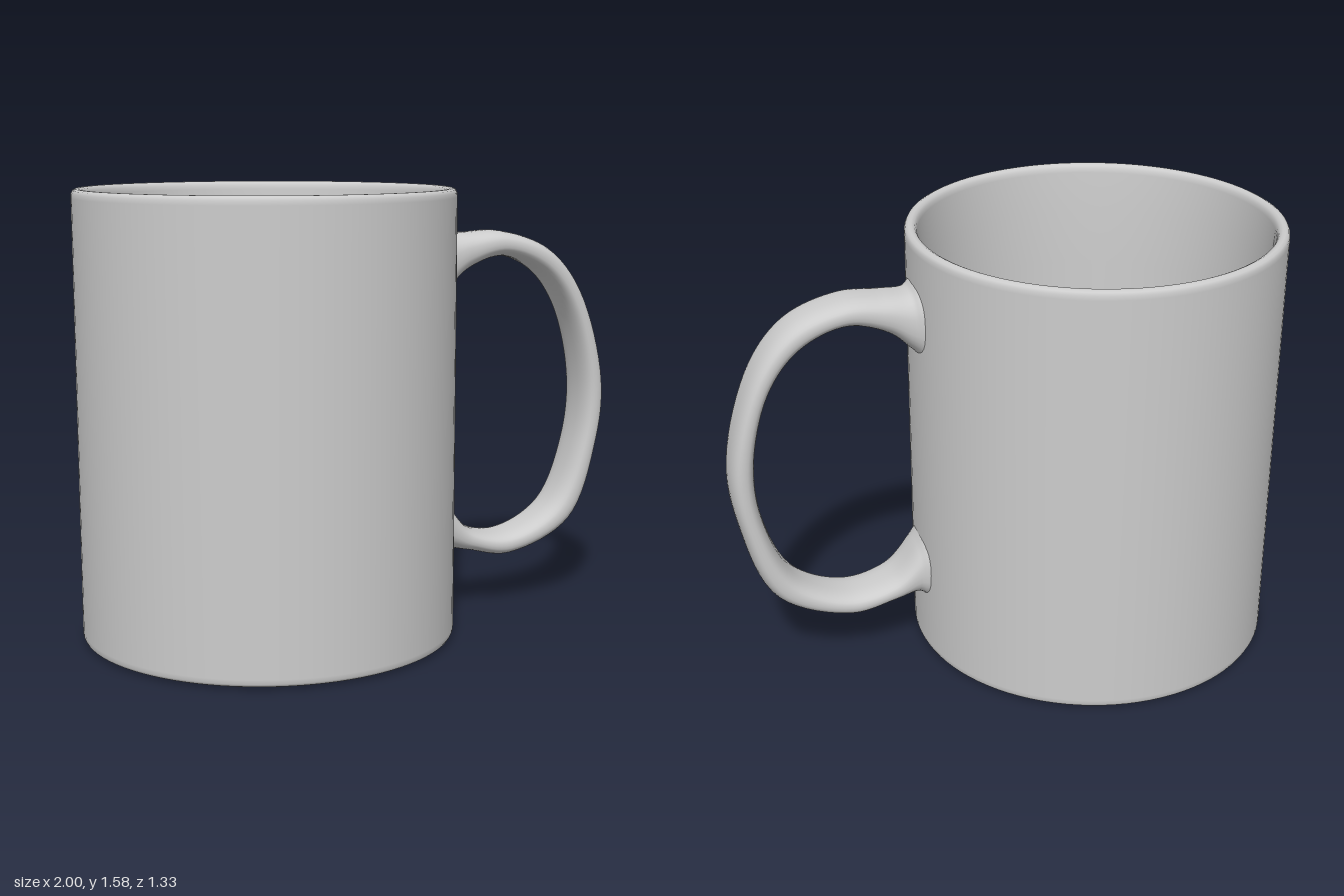
import * as THREE from 'three';

const CENTER_X = -0.337; // axis of the cup body

// Cup wall, rim and floor turned as one hollow profile
function cupGeometry() {
  const profile = [
    [0, 0], [0.61, 0], [0.625, 0.001], [0.632, 0.006], [0.65, 0.008],
    [0.658, 0.012], [0.662, 0.02], [0.663, 0.035], [0.663, 0.8],
    [0.663, 1.55], [0.662, 1.565], [0.657, 1.575], [0.647, 1.58],
    [0.637, 1.58], [0.627, 1.575], [0.621, 1.565], [0.618, 1.55],
    [0.608, 1.4], [0.602, 1.2], [0.595, 0.7], [0.586, 0.3],
    [0.58, 0.16], [0.576, 0.125], [0.568, 0.108], [0.555, 0.1], [0.54, 0.1], [0, 0.1],
  ].map(([r, y]) => new THREE.Vector2(r, y));
  return new THREE.LatheGeometry(profile, 96);
}

// Handle lofted between an outer edge (x, y, half width) and an inner edge (x, y)
function handleGeometry() {
  const stations = [
    // outer x, y, half width, inner x, y
    [0.295, 1.45, 0.135, 0.295, 1.15],
    [0.322, 1.43, 0.122, 0.324, 1.185],
    [0.345, 1.41, 0.112, 0.345, 1.205],
    [0.43, 1.408, 0.102, 0.42, 1.272],
    [0.57, 1.41, 0.098, 0.57, 1.318],
    [0.757, 1.345, 0.097, 0.73, 1.254],
    [0.89, 1.19, 0.097, 0.842, 1.11],
    [0.995, 0.84, 0.097, 0.908, 0.84],
    [0.975, 0.6, 0.097, 0.887, 0.6],
    [0.864, 0.307, 0.097, 0.783, 0.37],
    [0.6, 0.193, 0.098, 0.6, 0.278],
    [0.436, 0.222, 0.102, 0.436, 0.313],
    [0.345, 0.235, 0.112, 0.345, 0.42],
    [0.322, 0.222, 0.122, 0.324, 0.45],
    [0.295, 0.2, 0.135, 0.295, 0.49],
  ];
  const outer = new THREE.CatmullRomCurve3(stations.map((s) => new THREE.Vector3(s[0], s[1], s[2])));
  const inner = new THREE.CatmullRomCurve3(stations.map((s) => new THREE.Vector3(s[3], s[4], 0)));

  const rings = 112, sides = 32, positions = [], indices = [];
  const soften = (v) => Math.sign(v) * Math.abs(v) ** 0.8; // rounded, slightly boxy section
  for (let i = 0; i <= rings; i++) {
    const o = outer.getPoint(i / rings), n = inner.getPoint(i / rings);
    for (let j = 0; j < sides; j++) {
      const a = (j / sides) * Math.PI * 2;
      const c = soften(Math.cos(a)) / 2, s = soften(Math.sin(a));
      positions.push(
        (o.x + n.x) / 2 + c * (o.x - n.x),
        (o.y + n.y) / 2 + c * (o.y - n.y),
        s * o.z,
      );
      if (i < rings) {
        const p = i * sides + j, q = i * sides + ((j + 1) % sides);
        indices.push(p, q, p + sides, q, q + sides, p + sides);
      }
    }
  }
  const geometry = new THREE.BufferGeometry();
  geometry.setAttribute('position', new THREE.Float32BufferAttribute(positions, 3));
  geometry.setIndex(indices);
  geometry.computeVertexNormals();
  return geometry;
}

export function createModel() {
  const ceramic = new THREE.MeshStandardMaterial({ color: 0xcccccc });
  ceramic.name = 'grey ceramic';

  const mug = new THREE.Group();
  mug.name = 'mug';

  const cup = new THREE.Mesh(cupGeometry(), ceramic);
  cup.name = 'cup';
  cup.position.x = CENTER_X;

  const handle = new THREE.Mesh(handleGeometry(), ceramic);
  handle.name = 'handle';

  mug.add(cup, handle);
  return mug;
}
